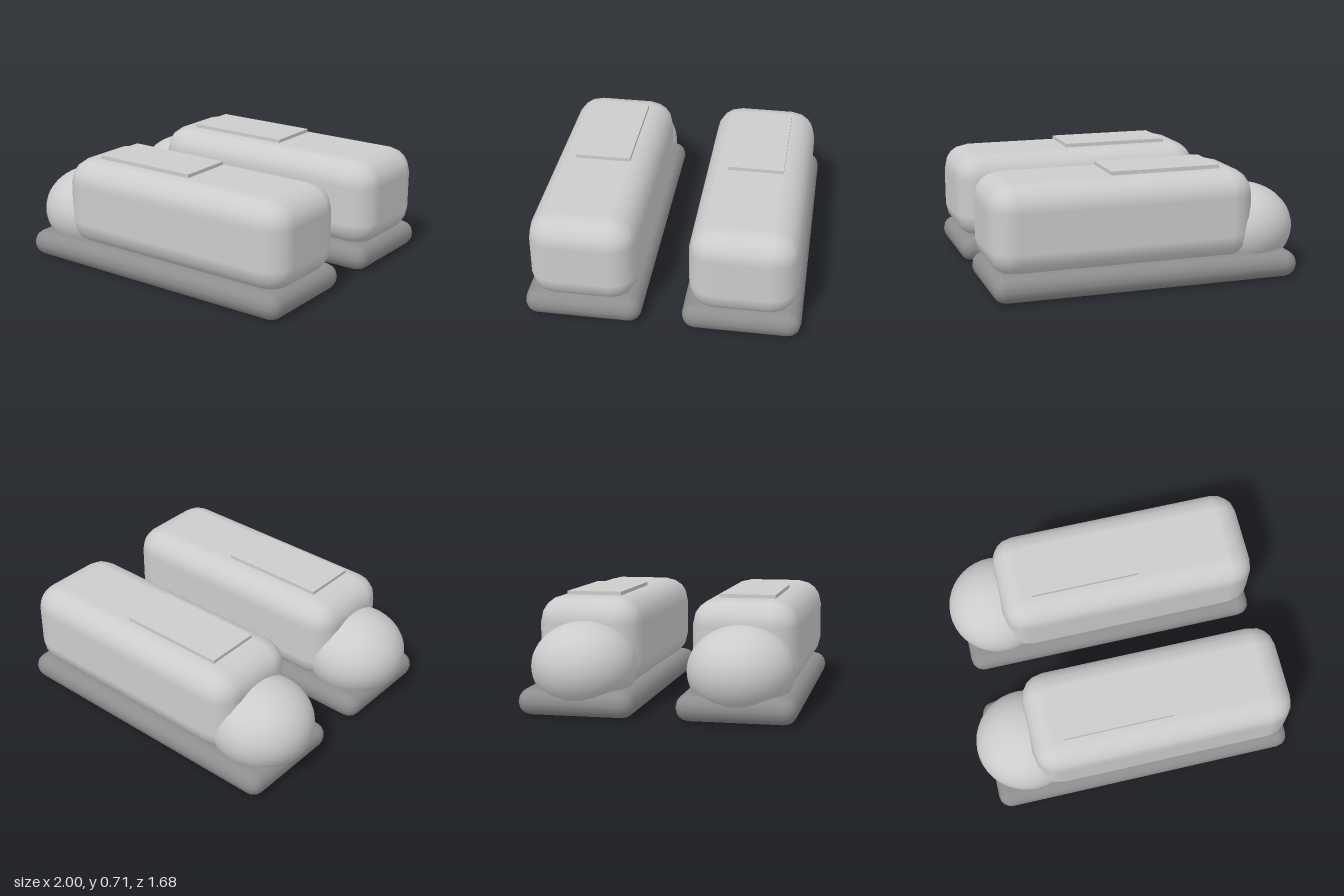
import * as THREE from 'three';
import { RoundedBoxGeometry } from 'three/addons/geometries/RoundedBoxGeometry.js';

export function createModel() {
  const model = new THREE.Group();
  model.name = 'pairOfShoes';

  const upperGrey = new THREE.MeshStandardMaterial({ color: 0xcccccc });
  upperGrey.name = 'light grey upper';
  const soleGrey = new THREE.MeshStandardMaterial({ color: 0x8e8e8e });
  soleGrey.name = 'dark grey sole';

  // Box helpers take the extents in x and y and the width in z
  const place = (mesh, name, x0, x1, y0, y1) => {
    mesh.name = name;
    mesh.position.set((x0 + x1) / 2, (y0 + y1) / 2, 0);
    return mesh;
  };
  const roundedPart = (name, material, x0, x1, y0, y1, width, radius, segments) =>
    place(new THREE.Mesh(
      new RoundedBoxGeometry(x1 - x0, y1 - y0, width, segments, radius), material
    ), name, x0, x1, y0, y1);

  function createShoe(name, z) {
    const shoe = new THREE.Group();
    shoe.name = name;
    shoe.position.z = z;

    // Thick padded sole
    shoe.add(roundedPart('sole', soleGrey, -0.93, 1, 0, 0.165, 0.72, 0.082, 2));

    // Soft block body
    shoe.add(roundedPart('body', upperGrey, -0.655, 1, 0.13, 0.69, 0.655, 0.16, 2));

    // Squashed ball toe cap
    const toe = new THREE.Mesh(new THREE.SphereGeometry(1, 40, 28), upperGrey);
    toe.name = 'toeCap';
    toe.scale.set(0.325, 0.272, 0.323);
    toe.position.set(-0.675, 0.28, 0);
    shoe.add(toe);

    // Flat panel on top of the body
    const panel = new THREE.Mesh(new THREE.BoxGeometry(0.69, 0.04, 0.345), upperGrey);
    shoe.add(place(panel, 'topPanel', -0.45, 0.24, 0.672, 0.712));
    return shoe;
  }

  model.add(createShoe('frontShoe', 0.482), createShoe('backShoe', -0.482));
  return model;
}
